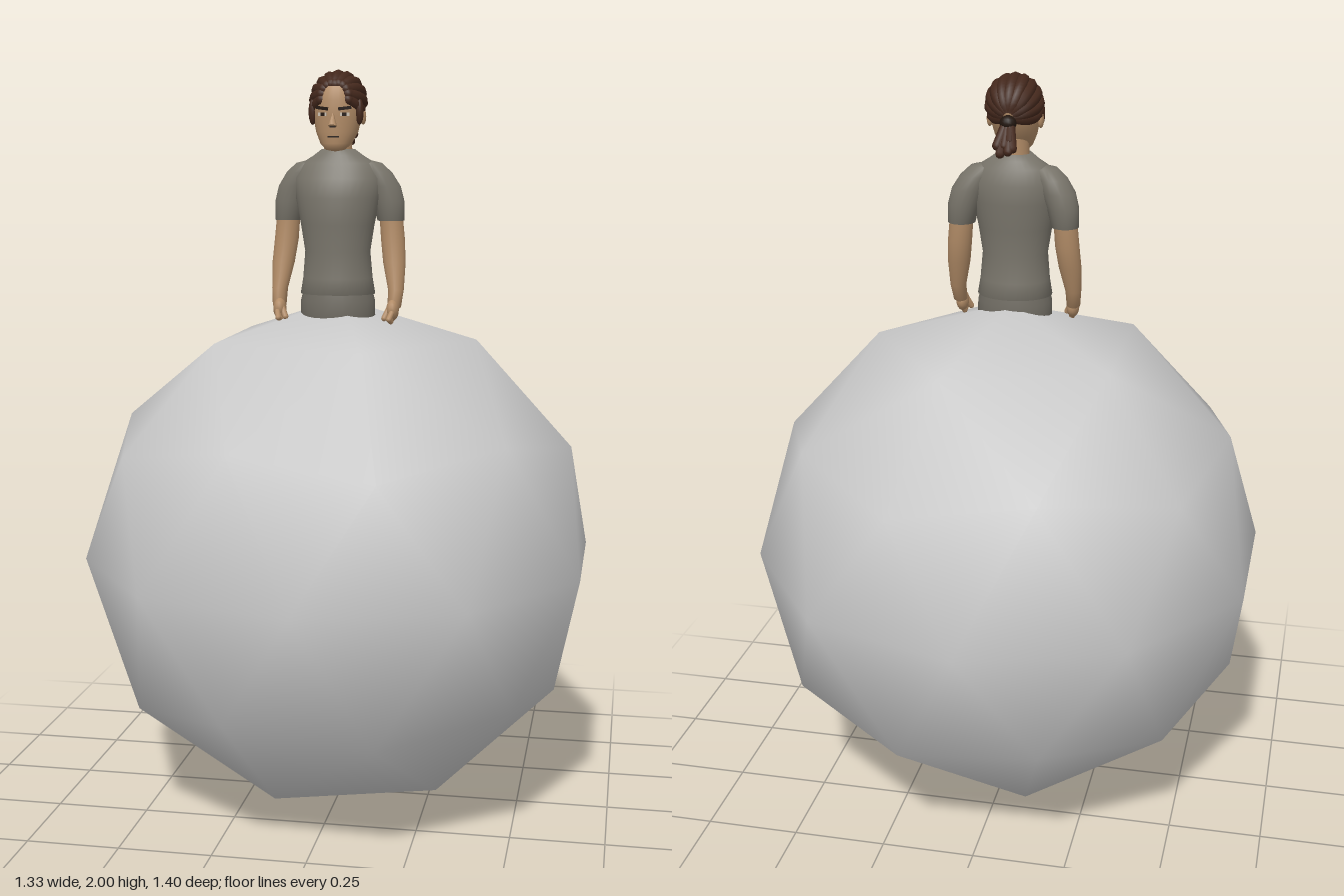
import * as THREE from 'three';

const mat = (name, color) => Object.assign(new THREE.MeshStandardMaterial({ color }), { name });

export function createModel() {
  const M = {
    ball: mat('pale grey', 0xcacaca),
    shirt: mat('grey shirt', 0x78746a),
    trousers: mat('grey trousers', 0x706c63),
    skin: mat('skin', 0xb28c67),
    hair: mat('brown hair', 0x44281c),
    dark: mat('dark brown', 0x22160f),
    white: mat('eye white', 0xc9bfb0),
  };
  const root = new THREE.Group();
  root.name = 'figureOnBall';

  const add = (name, geo, material, parent = root) => {
    const m = new THREE.Mesh(geo, material);
    m.name = name;
    parent.add(m);
    return m;
  };

  // Smooth skin over horizontal elliptical rings [y, cx, cz, rx, rz], bottom to top
  const loft = (rings, seg = 24) => {
    const pos = [], idx = [];
    rings.forEach(([y, cx, cz, rx, rz]) => {
      for (let j = 0; j < seg; j++) {
        const a = (j / seg) * Math.PI * 2;
        pos.push(cx + rx * Math.sin(a), y, cz + rz * Math.cos(a));
      }
    });
    for (let i = 0; i < rings.length - 1; i++) {
      for (let j = 0; j < seg; j++) {
        const a = i * seg + j, b = i * seg + (j + 1) % seg;
        idx.push(a, b, b + seg, a, b + seg, a + seg);
      }
    }
    const g = new THREE.BufferGeometry();
    g.setAttribute('position', new THREE.Float32BufferAttribute(pos, 3));
    g.setIndex(idx);
    g.computeVertexNormals();
    return g;
  };

  const ellipsoid = (c, r) => new THREE.SphereGeometry(1, 14, 10).scale(...r).translate(...c);

  // Rounded rod between two points
  const rod = (a, b, r) => {
    const A = new THREE.Vector3(...a), B = new THREE.Vector3(...b), d = B.clone().sub(A);
    const g = new THREE.CapsuleGeometry(r, d.length(), 4, 8);
    g.applyQuaternion(new THREE.Quaternion().setFromUnitVectors(new THREE.Vector3(0, 1, 0), d.normalize()));
    const c = A.add(B).multiplyScalar(0.5);
    return g.translate(c.x, c.y, c.z);
  };

  // Coarse round ball, one corner straight up
  const tilt = Math.atan(2 / (1 + Math.sqrt(5)));
  add('ball', new THREE.IcosahedronGeometry(0.7, 1).rotateZ(-tilt).translate(0, 0.7, 0), M.ball);

  // Trousers and shirt
  add('trousers', loft([
    [1.30, 0, 0.045, 0.09, 0.07], [1.36, 0, 0.045, 0.101, 0.078],
    [1.40, 0, 0.045, 0.1, 0.078], [1.44, 0, 0.045, 0.09, 0.07],
  ]), M.trousers);
  add('shirt', loft([
    [1.425, 0, 0.045, 0.085, 0.066], [1.418, 0, 0.045, 0.1, 0.083], [1.46, 0, 0.046, 0.093, 0.076],
    [1.53, 0, 0.048, 0.087, 0.071], [1.60, 0, 0.048, 0.098, 0.077], [1.67, 0, 0.046, 0.112, 0.081],
    [1.72, 0, 0.04, 0.117, 0.074], [1.76, 0, 0.036, 0.098, 0.056], [1.78, 0, 0.036, 0.066, 0.045],
    [1.796, 0, 0.038, 0.044, 0.041], [1.79, 0, 0.038, 0.034, 0.034],
  ], 32), M.shirt);

  // Neck and head
  add('neck', loft([
    [1.76, 0, 0.038, 0.042, 0.04], [1.80, 0, 0.042, 0.037, 0.037], [1.87, 0, 0.04, 0.038, 0.04],
  ]), M.skin);
  add('head', loft([
    [1.79, 0, 0.082, 0, 0], [1.794, 0, 0.082, 0.024, 0.022], [1.81, 0, 0.07, 0.041, 0.04],
    [1.84, 0, 0.056, 0.055, 0.056], [1.88, 0, 0.046, 0.064, 0.068], [1.92, 0, 0.042, 0.066, 0.073],
    [1.955, 0, 0.04, 0.058, 0.065], [1.98, 0, 0.038, 0.035, 0.04], [1.988, 0, 0.038, 0, 0],
  ], 28), M.skin);

  // Face
  const nose = new THREE.ConeGeometry(0.012, 0.038, 8).rotateX(-0.3).translate(0, 1.873, 0.118);
  add('nose', nose, M.skin);
  add('nostrils', new THREE.BoxGeometry(0.014, 0.004, 0.006).translate(0, 1.853, 0.121), M.dark);
  add('mouth', new THREE.BoxGeometry(0.03, 0.004, 0.006).translate(0, 1.828, 0.109), M.dark);

  for (const s of [1, -1]) {
    const side = s > 0 ? 'left' : 'right';
    const plate = (name, w, h, x, y, z, m) => {
      const p = add(side + name, new THREE.BoxGeometry(w, h, 0.006), m);
      p.position.set(s * x, y, z);
      p.rotation.set(0, s * 0.3, 0);
      return p;
    };
    plate('Eyebrow', 0.034, 0.008, 0.029, 1.9, 0.107, M.dark).rotation.z = s * 0.12;
    plate('EyeWhite', 0.024, 0.009, 0.029, 1.885, 0.106, M.white);
    plate('Iris', 0.011, 0.009, 0.028, 1.885, 0.108, M.dark);
    add(side + 'Ear', ellipsoid([s * 0.067, 1.88, 0.045], [0.008, 0.021, 0.013]), M.skin);
    add(side + 'Sideburn', ellipsoid([s * 0.062, 1.892, 0.072], [0.011, 0.034, 0.013]), M.hair);

    // Arm with sleeve, forearm and hand
    const arm = new THREE.Group();
    arm.name = side + 'Arm';
    root.add(arm);
    const mirrored = (rings) => loft(rings.map(([y, x, ...r]) => [y, s * x, ...r]), 20);
    add('sleeve', mirrored([
      [1.62, 0.138, 0.02, 0.028, 0.03], [1.61, 0.138, 0.02, 0.036, 0.038], [1.66, 0.132, 0.02, 0.042, 0.042],
      [1.70, 0.118, 0.022, 0.046, 0.044], [1.735, 0.1, 0.026, 0.042, 0.041],
      [1.76, 0.083, 0.03, 0.032, 0.033], [1.77, 0.075, 0.032, 0, 0],
    ]), M.shirt, arm);
    add('forearm', mirrored([
      [1.37, 0.154, 0.07, 0, 0], [1.385, 0.155, 0.066, 0.018, 0.023], [1.43, 0.157, 0.05, 0.021, 0.025],
      [1.50, 0.15, 0.034, 0.03, 0.031], [1.56, 0.144, 0.021, 0.032, 0.033], [1.63, 0.138, 0.02, 0.031, 0.033],
    ]), M.skin, arm);
    add('palm', ellipsoid([s * 0.152, 1.378, 0.077], [0.017, 0.028, 0.028]), M.skin, arm);
    for (let i = 0; i < 4; i++) {
      const z = 0.066 + i * 0.012;
      add('finger', rod([s * 0.153, 1.372, z], [s * 0.148, 1.348 + i * 0.003, z + 0.015], 0.0075), M.skin, arm);
    }
    add('thumb', rod([s * 0.145, 1.385, 0.085], [s * 0.133, 1.358, 0.096], 0.008), M.skin, arm);
  }

  // Combed-back locks, running from the forehead to the tie
  const hair = new THREE.Group();
  hair.name = 'hair';
  root.add(hair);
  const axis = new THREE.Vector3(0, 0.3, 1).normalize();
  const up = new THREE.Vector3(0, 1, -0.3).normalize();
  const count = 11;
  for (let i = 0; i < count; i++) {
    const phi = ((i / (count - 1)) * 2 - 1) * 1.95;
    const start = 0.36 + 0.28 * Math.abs(phi) / 1.95;
    const pts = [];
    for (let k = 0; k <= 8; k++) {
      const t = start + (k / 8) * (3.0 - start);
      const p = axis.clone().multiplyScalar(Math.cos(t))
        .addScaledVector(up, Math.sin(t) * Math.cos(phi));
      p.x = Math.sin(t) * Math.sin(phi);
      pts.push(p.multiply(new THREE.Vector3(0.061, 0.064, 0.066)).add(new THREE.Vector3(0, 1.92, 0.036)));
    }
    add('lock', new THREE.TubeGeometry(new THREE.CatmullRomCurve3(pts), 20, 0.0165, 8), M.hair, hair);
    add('lockEnd', ellipsoid(pts[0].toArray(), [0.0165, 0.0165, 0.0165]), M.hair, hair);
  }

  // Ponytail: a tie and a fan of short locks
  add('hairTie', ellipsoid([0, 1.885, -0.043], [0.022, 0.02, 0.02]), M.dark, hair);
  for (let i = 0; i < 7; i++) {
    const a = (i / 6) * Math.PI * 2, r = i === 6 ? 0 : 0.02;
    add('ponytailLock', rod([r * 0.4 * Math.cos(a), 1.877, -0.048],
      [r * Math.cos(a), 1.835 + r * 0.7 * Math.sin(a) - (i % 2) * 0.006, -0.084 + r * 0.5 * Math.sin(a)], 0.012),
    M.hair, hair);
  }
  return root;
}
